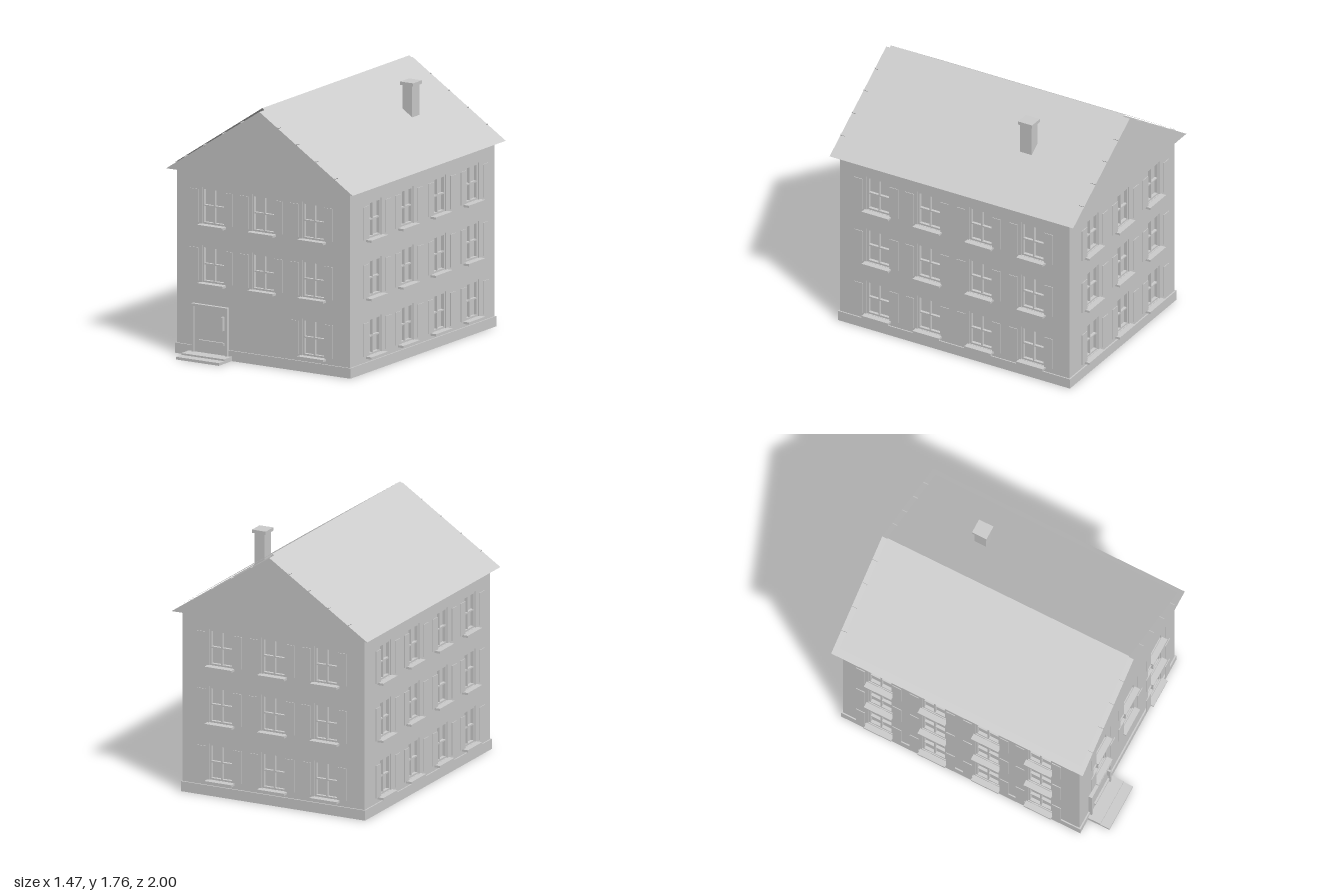
import * as THREE from 'three';

const DEPTH = 0.03;              // window recess
const ZC = -0.055;               // centre of the house body
const HX = 0.683, HZ = 0.885, WALL_TOP = 1.262;
const ROWS = [0.108, 0.506, 0.904];

export function createModel() {
  const grey = new THREE.MeshStandardMaterial({ color: 0xcccccc });
  const roofGrey = grey.clone();
  grey.name = 'plaster grey';
  roofGrey.name = 'thin sheet grey';
  roofGrey.side = THREE.DoubleSide;
  const house = new THREE.Group();
  house.name = 'house';

  const add = (parent, name, geometry, material = grey) => {
    const mesh = new THREE.Mesh(geometry, material);
    mesh.name = name;
    parent.add(mesh);
    return mesh;
  };
  // box given by its limits
  const box = (parent, name, x0, x1, y0, y1, z0, z1) => {
    const mesh = add(parent, name, new THREE.BoxGeometry(x1 - x0, y1 - y0, z1 - z0));
    mesh.position.set((x0 + x1) / 2, (y0 + y1) / 2, (z0 + z1) / 2);
    return mesh;
  };
  const rect = (x0, x1, y0, y1, Type = THREE.Shape) => new Type([
    [x0, y0], [x1, y0], [x1, y1], [x0, y1]].map(p => new THREE.Vector2(...p)));
  const extrude = (shape, depth) =>
    new THREE.ExtrudeGeometry(shape, { depth, bevelEnabled: false });

  // one window with frame, bars, sill and shutters; the wall face is z = 0
  const addWindow = (parent, x, y) => {
    const w = new THREE.Group();
    w.name = 'window';
    w.position.set(x, y, 0);
    parent.add(w);
    const ring = rect(-0.091, 0.091, 0, 0.252);
    ring.holes.push(rect(-0.078, 0.078, 0.012, 0.238, THREE.Path));
    add(w, 'windowFrame', extrude(ring, 0.022)).position.z = -DEPTH;
    box(w, 'uprightBar', -0.005, 0.005, 0.012, 0.238, -DEPTH, -0.01);
    box(w, 'crossBar', -0.078, 0.078, 0.12, 0.13, -DEPTH, -0.01);
    box(w, 'sill', -0.102, 0.102, -0.014, 0.001, 0.003, 0.045);
    for (const s of [-1, 1]) {
      const shutter = box(w, 'shutter', -0.033, 0.033, 0.014, 0.24, 0.024, 0.029);
      shutter.position.x = s * 0.136;
    }
  };

  // a wall pierced by its windows, facing local +z
  const addWall = (name, half, spots, angle, distance) => {
    const wall = new THREE.Group();
    wall.name = name;
    const shape = rect(-half, half, 0, WALL_TOP);
    for (const [x, y] of spots) {
      shape.holes.push(rect(x - 0.091, x + 0.091, y, y + 0.252, THREE.Path));
      addWindow(wall, x, y);
    }
    add(wall, name + 'Face', extrude(shape, DEPTH)).position.z = -DEPTH;
    wall.rotation.y = angle;
    wall.position.set(Math.sin(angle) * distance, 0, ZC + Math.cos(angle) * distance);
    house.add(wall);
  };

  const grid = xs => ROWS.flatMap(y => xs.map(x => [x, y]));
  const endGrid = grid([-0.395, 0, 0.395]);
  const sideZ = [0.535, 0.142, -0.257, -0.658];
  // the ground floor of the front keeps only its right-hand window
  addWall('frontWall', HX, endGrid.filter(([x, y]) => y > 0.3 || x > 0.3), 0, HZ);
  addWall('backWall', HX, endGrid, Math.PI, HZ);
  addWall('leftWall', HZ, grid(sideZ.map(z => ZC - z)), Math.PI / 2, HX);
  addWall('rightWall', HZ, grid(sideZ.map(z => z - ZC)), -Math.PI / 2, HX);

  // core behind the walls closes the window recesses
  box(house, 'windowPanes', -HX + DEPTH, HX - DEPTH, 0.01, WALL_TOP,
    ZC - HZ + DEPTH, ZC + HZ - DEPTH);
  box(house, 'plinth', -0.692, 0.692, 0, 0.07, ZC - 0.895, ZC + 0.895);

  // gabled roof
  const gable = new THREE.Shape([[-0.735, 1.26], [0.735, 1.26], [0, 1.738]]
    .map(p => new THREE.Vector2(...p)));
  add(house, 'roof', extrude(gable, 1.88)).position.z = -1.0;

  // raised covering sheets, with small clips along the verges
  const run = 0.69, rise = 0.457;
  for (const s of [-1, 1]) {
    const sheet = add(house, 'roofCovering',
      new THREE.PlaneGeometry(Math.hypot(run, rise), 1.805), roofGrey);
    sheet.geometry.rotateX(-Math.PI / 2);
    sheet.rotation.z = -s * Math.atan2(rise, run);
    sheet.position.set(s * run / 2, 1.757 - rise / 2, -0.0575);
    for (const x of [0.145, 0.29, 0.44, 0.59]) {
      for (const z of [0.8625, -0.98]) {
        const clip = add(house, 'vergeClip', new THREE.BoxGeometry(0.008, 0.012, 0.036));
        clip.rotation.z = -s * Math.atan2(0.478, 0.735);
        clip.position.set(s * x, 1.738 - x * 0.65, z);
      }
    }
  }

  // chimney
  box(house, 'chimney', 0.315, 0.391, 1.42, 1.71, -0.475, -0.387);
  box(house, 'chimneyCap', 0.302, 0.404, 1.71, 1.733, -0.486, -0.378);

  // front door
  const door = new THREE.Group();
  door.name = 'door';
  house.add(door);
  const surround = rect(-0.553, -0.27, 0.03, 0.358);
  surround.holes.push(rect(-0.535, -0.288, 0.03, 0.343, THREE.Path));
  add(door, 'doorFrame', extrude(surround, 0.025)).position.z = 0.83;
  box(door, 'doorLeaf', -0.535, -0.288, 0.03, 0.343, 0.82, 0.842);
  box(door, 'kickRail', -0.5, -0.298, 0.098, 0.117, 0.84, 0.855);
  box(door, 'doorHandle', -0.312, -0.3, 0.2, 0.295, 0.84, 0.866);

  // doorstep
  box(house, 'lowerStep', -0.582, -0.243, 0, 0.018, 0.83, 1.0);
  box(house, 'upperStep', -0.582, -0.243, 0.018, 0.03, 0.83, 0.932);

  return house;
}
